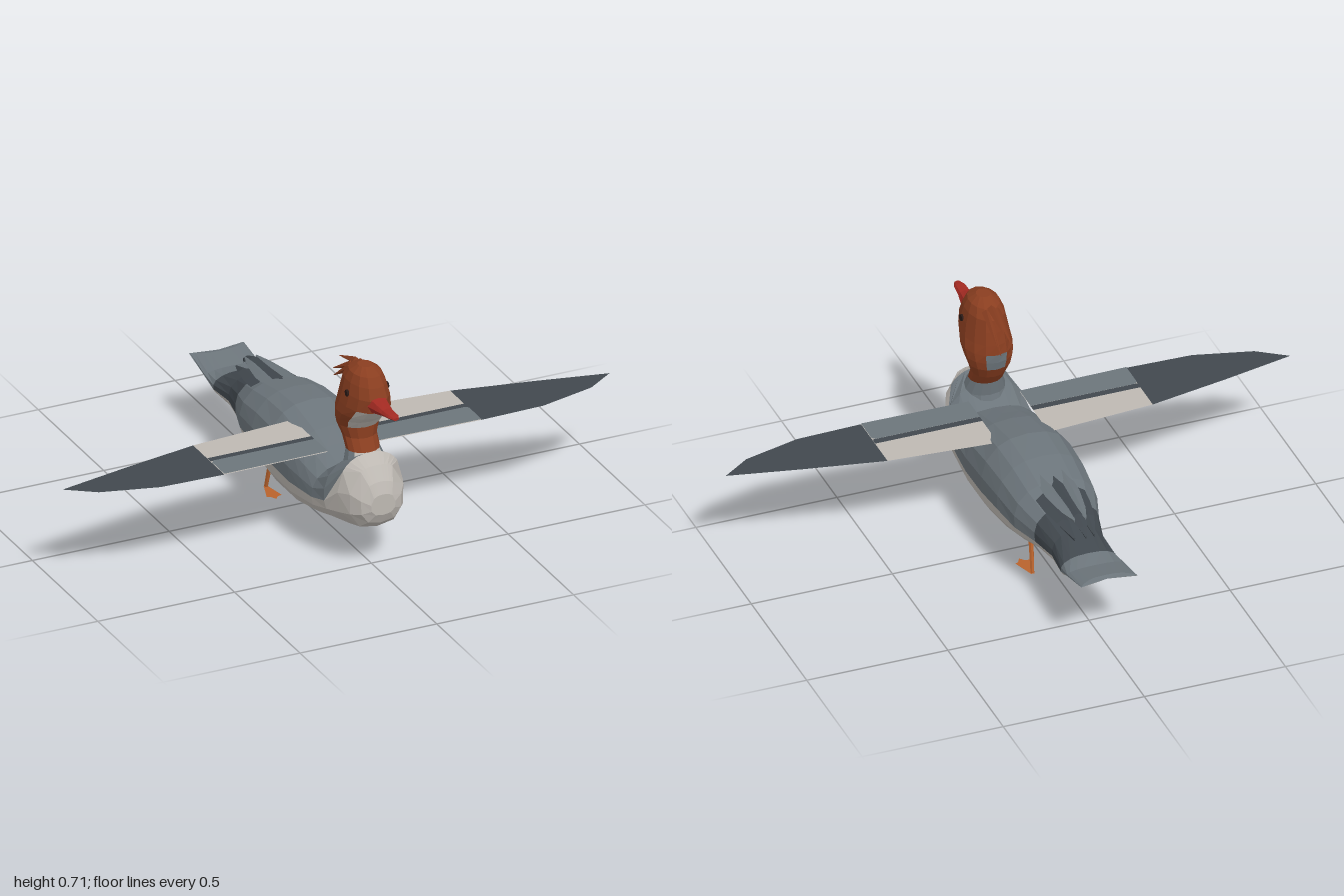
import * as THREE from 'three';

const mat = (name, color) => Object.assign(new THREE.MeshStandardMaterial({ color, side: THREE.DoubleSide }), { name });

// Skin a list of rings with flat facets; pick(centre, i, j) gives a material index per quad
function loft(rings, pick = () => 0) {
  const faces = [];
  const n = rings[0].length;
  const mid = pts => pts.reduce((s, p) => s.add(p), new THREE.Vector3()).divideScalar(pts.length);
  for (let i = 0; i < rings.length - 1; i++) {
    for (let j = 0; j < n; j++) {
      const k = (j + 1) % n;
      const [a, b, c, d] = [rings[i][j], rings[i][k], rings[i + 1][k], rings[i + 1][j]];
      faces.push({ m: pick(mid([a, b, c, d]), i, j), p: [a, b, c, a, c, d] });
    }
  }
  [[0, true], [rings.length - 1, false]].forEach(([i, flip]) => {
    const r = rings[i], c = mid(r);
    for (let j = 0; j < n; j++) {
      const k = (j + 1) % n;
      faces.push({ m: pick(c, i, j), p: flip ? [c, r[k], r[j]] : [c, r[j], r[k]] });
    }
  });
  faces.sort((a, b) => a.m - b.m);
  const g = new THREE.BufferGeometry().setFromPoints(faces.flatMap(f => f.p));
  let start = 0;
  faces.forEach(f => { g.addGroup(start, f.p.length, f.m); start += f.p.length; });
  g.computeVertexNormals();
  // Join neighbouring groups that share a material
  g.groups = g.groups.reduce((out, q) => {
    const last = out[out.length - 1];
    if (last && last.materialIndex === q.materialIndex) last.count += q.count;
    else out.push({ ...q });
    return out;
  }, []);
  return g;
}

export function createModel() {
  const model = new THREE.Group();
  model.name = 'duck';
  const V = (x, y, z) => new THREE.Vector3(x, y, z);
  const white = mat('white plumage', 0xbdb8b2);
  const slate = mat('slate plumage', 0x6c757b);
  const dark = mat('dark feathers', 0x41484e);
  const chestnut = mat('chestnut head', 0x8a3e20);
  const red = mat('red bill', 0xa32a22);
  const orange = mat('orange legs', 0xb8622c);
  const black = mat('dark eye', 0x2a1a16);
  const add = (name, geo, m, parent = model) => {
    const mesh = new THREE.Mesh(geo, m);
    mesh.name = name;
    parent.add(mesh);
    return mesh;
  };

  // Body and tail: z, bottom, top, half width, height of the white flank
  const lower = [0, 0.06, 0.3, 0.65], upper = [0, 0.3, 0.6, 0.85, 0.96];
  const bodyRings = [
    [0.592, 0.225, 0.3, 0.045, 0.29], [0.575, 0.19, 0.34, 0.075, 0.33], [0.54, 0.16, 0.385, 0.1, 0.37],
    [0.49, 0.15, 0.41, 0.12, 0.36], [0.43, 0.145, 0.38, 0.14, 0.235], [0.36, 0.135, 0.325, 0.152, 0.22],
    [0.28, 0.117, 0.352, 0.158, 0.215], [0.2, 0.1, 0.38, 0.163, 0.21], [0.05, 0.1, 0.41, 0.167, 0.22],
    [-0.08, 0.12, 0.4, 0.162, 0.23], [-0.2, 0.148, 0.375, 0.148, 0.225], [-0.3, 0.168, 0.338, 0.115, 0.222],
    [-0.4, 0.172, 0.302, 0.092, 0.22], [-0.5, 0.19, 0.27, 0.1, 0.22], [-0.56, 0.228, 0.259, 0.102, 0.24],
    [-0.65, 0.264, 0.274, 0.1, 0.269],
  ].map(([z, b, t, w, line], i, all) => {
    const ys = [...lower.map(f => b + f * (line - b)), ...upper.map(f => line + f * (t - line)), t];
    const half = ys.map(y => {
      const u = Math.abs(2 * Math.pow((y - b) / (t - b), 0.9) - 1);
      const x = w * Math.pow(Math.max(0, 1 - Math.pow(u, 2.4)), 1 / 2.4);
      // The tail ends in two corners with a shallow notch
      return V(x, y, i === all.length - 1 ? z - 0.035 * (x / w) ** 3 : z);
    });
    const right = half.map(p => V(-p.x, p.y, p.z));
    return [...right, ...half.slice(1, -1).reverse()];
  });
  const count = bodyRings[0].length;
  add('body', loft(bodyRings, (c, i, j) => {
    if (j < lower.length || j >= count - lower.length || i < 3) return 0;
    return c.z < -0.26 && c.z > -0.51 ? 2 : 1;
  }), [white, slate, dark]);

  // Neck and head: y, back z, front z, half width
  const headRings = [
    [0.3, 0.365, 0.53, 0.08], [0.36, 0.385, 0.52, 0.075], [0.408, 0.382, 0.487, 0.058], [0.45, 0.352, 0.463, 0.059],
    [0.49, 0.332, 0.463, 0.073], [0.52, 0.326, 0.487, 0.082], [0.55, 0.324, 0.528, 0.086], [0.585, 0.328, 0.562, 0.081],
    [0.63, 0.338, 0.567, 0.073], [0.67, 0.35, 0.548, 0.064], [0.7, 0.378, 0.525, 0.051], [0.72, 0.425, 0.48, 0.025],
  ].map(([y, back, front, w]) => Array.from({ length: 14 }, (_, j) => {
    const a = (j / 14) * Math.PI * 2;
    return V(Math.sin(a) * w, y, (back + front) / 2 + Math.cos(a) * (front - back) / 2);
  }));
  add('neckAndHead', loft(headRings, c => {
    if (c.y < 0.408) return c.z > 0.48 ? 0 : 1;
    if (c.y > 0.48 && c.y < 0.57 && Math.abs(c.x) < 0.055) return c.z > 0.44 ? 0 : c.y < 0.55 && Math.abs(c.x) < 0.04 ? 1 : 2;
    return 2;
  }), [white, slate, chestnut]);

  // Bill: z, centre y, half width, half height
  add('bill', loft([
    [0.54, 0.612, 0.04, 0.035], [0.575, 0.613, 0.032, 0.026], [0.62, 0.615, 0.023, 0.014],
    [0.665, 0.62, 0.02, 0.009], [0.69, 0.62, 0.01, 0.005],
  ].map(([z, y, w, h]) => Array.from({ length: 8 }, (_, j) => {
    const a = (j / 8) * Math.PI * 2;
    return V(Math.cos(a) * w, y + Math.sin(a) * h, z);
  }))), red);

  // Tapered rod between two points
  const rod = (name, from, to, r0, r1, sides, m, parent) => {
    const dir = to.clone().sub(from);
    const geo = new THREE.CylinderGeometry(r1, r0, dir.length(), sides).toNonIndexed();
    geo.computeVertexNormals();
    const mesh = add(name, geo, m, parent);
    mesh.position.copy(from).add(to).multiplyScalar(0.5);
    mesh.quaternion.setFromUnitVectors(V(0, 1, 0), dir.normalize());
  };

  // Crest
  const crest = new THREE.Group();
  crest.name = 'crest';
  model.add(crest);
  [[0, 0.7, 0.255, 0.662], [0.018, 0.69, 0.262, 0.625], [-0.018, 0.69, 0.262, 0.625], [0.01, 0.68, 0.257, 0.592], [-0.025, 0.68, 0.285, 0.61]]
    .forEach(([x, y, z, tipY]) => rod('crestTuft', V(x, y, 0.385), V(x * 1.4, tipY, z), 0.014, 0.001, 4, chestnut, crest));

  // Drooping feathers over the rump: x, y, z, half width at each step
  const plume = pts => loft(pts.map(([x, y, z, w]) => [
    V(x, y - 0.012, z), V(x - w, y - w * 0.5, z), V(x, y, z), V(x + w, y - w * 0.5, z)]));
  add('rumpPlume', plume([[0, 0.38, -0.18, 0.04], [0, 0.37, -0.3, 0.045], [0, 0.365, -0.4, 0.03], [0, 0.345, -0.45, 0.014], [0, 0.32, -0.475, 0.003]]), dark);
  [1, -1].forEach(s => {
    add('sidePlume', plume([[s * 0.06, 0.36, -0.2, 0.03], [s * 0.052, 0.35, -0.3, 0.03], [s * 0.045, 0.34, -0.38, 0.022], [s * 0.035, 0.312, -0.46, 0.003]]), dark);
    add('backPlume', plume([[s * 0.04, 0.383, -0.12, 0.02], [s * 0.035, 0.373, -0.26, 0.025], [s * 0.025, 0.365, -0.36, 0.018], [s * 0.02, 0.357, -0.42, 0.003]]), slate);
  });

  // Wings, legs and eyes on both sides
  [1, -1].forEach(s => {
    const side = s > 0 ? 'left' : 'right';
    const wing = new THREE.Group();
    wing.name = side + 'Wing';
    model.add(wing);
    const plate = (name, pts, y, m, parent) => {
      const shape = new THREE.Shape(pts.map(([x, z]) => new THREE.Vector2(s * x, z)));
      // Lying flat with the face upwards
      const geo = new THREE.ShapeGeometry(shape).rotateX(-Math.PI / 2).scale(1, 1, -1);
      const ix = geo.index.array;
      for (let i = 0; i < ix.length; i += 3) [ix[i], ix[i + 1]] = [ix[i + 1], ix[i]];
      geo.computeVertexNormals();
      if (geo.attributes.normal.getY(0) < 0) {
        for (let i = 0; i < ix.length; i += 3) [ix[i], ix[i + 1]] = [ix[i + 1], ix[i]];
        geo.computeVertexNormals();
      }
      add(name, geo, m, parent).position.y = y;
    };
    plate('innerWing', [[0.09, 0.09], [0.47, 0.12], [0.47, 0.36], [0.09, 0.355]], 0.37, white, wing);
    plate('wingTip', [[0.47, 0.12], [0.75, 0.175], [1, 0.23], [0.9, 0.3], [0.7, 0.353], [0.47, 0.36]], 0.37, dark, wing);
    plate('wingCoverts', [[0.09, 0.255], [0.46, 0.255], [0.47, 0.265], [0.47, 0.36], [0.09, 0.355]], 0.373, slate, wing);
    plate('wingBar', [[0.09, 0.23], [0.47, 0.23], [0.47, 0.256], [0.09, 0.256]], 0.372, dark, wing);

    const leg = new THREE.Group();
    leg.name = side + 'Leg';
    model.add(leg);
    rod('shin', V(s * 0.06, 0.16, -0.125), V(s * 0.068, 0.008, -0.163), 0.01, 0.007, 6, orange, leg);
    plate('webbedFoot', [[0.062, -0.168], [0.074, -0.168], [0.1, -0.09], [0.088, -0.085], [0.077, -0.065], [0.065, -0.08], [0.048, -0.085]], 0.006, orange, leg);

    const eye = add(side + 'Eye', new THREE.CylinderGeometry(0.012, 0.012, 0.008, 10).rotateZ(Math.PI / 2), black);
    eye.position.set(s * 0.072, 0.632, 0.465);
    eye.rotation.y = s * 0.1;
  });

  return model;
}
